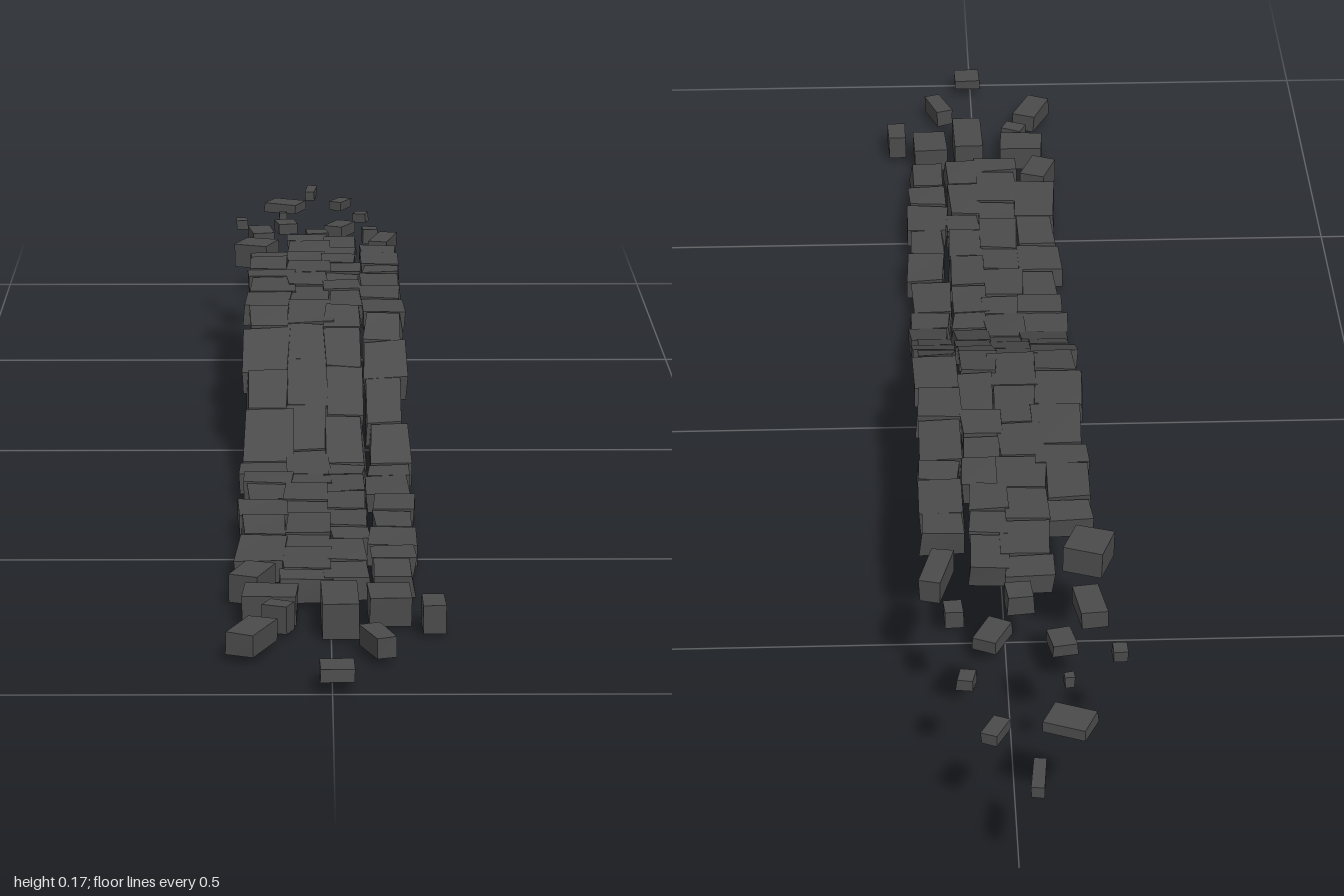
import * as THREE from 'three';

export function createModel() {
  const model = new THREE.Group();
  model.name = 'brokenStonePath';
  const stone = new THREE.MeshStandardMaterial({ color: 0x4b4b4b });
  stone.name = 'dark stone';

  // small seeded generator
  let seed = 11;
  const rand = (a, b) => {
    seed = (seed * 16807) % 2147483647;
    return a + (b - a) * (seed / 2147483647);
  };

  // height of the path: low at the front, a ramp, then high at the back
  const pathHeight = (z) => 0.021 + 0.133 * THREE.MathUtils.clamp((0.18 - z) / 0.27, 0, 1);

  // one rough block, sheared so that it follows the slope
  function addBlock(name, x, z, w, d, h, turn, rough) {
    const geo = new THREE.BoxGeometry(w, h, d);
    const p = geo.attributes.position;
    const corners = {};
    for (let i = 0; i < p.count; i++) {
      const key = [p.getX(i) > 0, p.getY(i) > 0, p.getZ(i) > 0].join();
      corners[key] ??= [rand(-rough, rough), rand(-rough, rough) * 0.4, rand(-rough, rough)];
      const [jx, jy, jz] = corners[key];
      const lx = p.getX(i) + jx, lz = p.getZ(i) + jz;
      const wx = x + lx * Math.cos(turn) + lz * Math.sin(turn);
      const wz = z - lx * Math.sin(turn) + lz * Math.cos(turn);
      p.setXYZ(i, wx, p.getY(i) + jy + pathHeight(wz), wz);
    }
    geo.computeVertexNormals();
    const mesh = new THREE.Mesh(geo, stone);
    mesh.name = name;
    model.add(mesh);
  }

  // paved middle: four staggered columns [x, width, back end, front end]
  const columns = [
    [-0.078, 0.056, -0.48, 0.62],
    [-0.026, 0.056, -0.6, 0.695],
    [0.023, 0.046, -0.58, 0.69],
    [0.077, 0.05, -0.51, 0.68],
  ];
  for (const [x, w, back, front] of columns) {
    let z = back;
    while (z < front - 0.02) {
      let d = rand(0.045, 0.095);
      if (front - z - d < 0.035) d = front - z;
      addBlock('pavingStone', x + rand(-0.004, 0.004), z + d / 2, w + rand(-0.005, 0.008), d - 0.002,
        rand(0.025, 0.032), rand(-0.04, 0.04), 0.003);
      z += d;
    }
  }

  // loose stones at both ends: x, z, width, depth, turn
  const looseBack = [
    [-0.02, -0.972, 0.014, 0.054, -0.08], [-0.06, -0.87, 0.052, 0.042, -0.4],
    [0.025, -0.885, 0.02, 0.036, -0.45], [-0.063, -0.79, 0.011, 0.011, 0.1],
    [0.055, -0.787, 0.02, 0.022, -0.2], [-0.125, -0.738, 0.017, 0.02, 0.05],
    [-0.058, -0.715, 0.03, 0.036, 0.2], [0.022, -0.7, 0.03, 0.048, -0.45],
    [-0.095, -0.645, 0.032, 0.058, 0.15], [0.067, -0.655, 0.022, 0.026, 0.05],
    [-0.012, -0.625, 0.032, 0.034, 0.1], [-0.1, -0.53, 0.05, 0.052, -0.35],
    [0.085, -0.575, 0.026, 0.07, -0.25],
  ];
  const looseFront = [
    [-0.092, 0.66, 0.036, 0.06, -0.35], [-0.07, 0.742, 0.062, 0.052, -0.05],
    [0.067, 0.745, 0.048, 0.06, 0.03], [0.117, 0.78, 0.026, 0.046, 0.05],
    [-0.06, 0.79, 0.03, 0.024, -0.4], [-0.09, 0.862, 0.034, 0.066, -0.4],
    [0.052, 0.878, 0.024, 0.056, 0.35], [0.005, 0.98, 0.038, 0.04, 0.02],
  ];
  // they get thinner past the given distance from the middle
  function scatter(stones, thickUntil) {
    for (const [x, z, w, d, turn] of stones) {
      const h = THREE.MathUtils.clamp(0.034 - 0.1 * (Math.abs(z) - thickUntil), 0.014, 0.034);
      addBlock('looseStone', x, z, w, d, h, turn, 0.001);
    }
  }
  scatter(looseBack, 0.53);
  scatter(looseFront, 0.78);

  // the thickest stone, which rests on the ground
  addBlock('thickStone', 0.01, 0.765, 0.042, 0.09, 0.042, 0.02, 0);

  return model;
}
